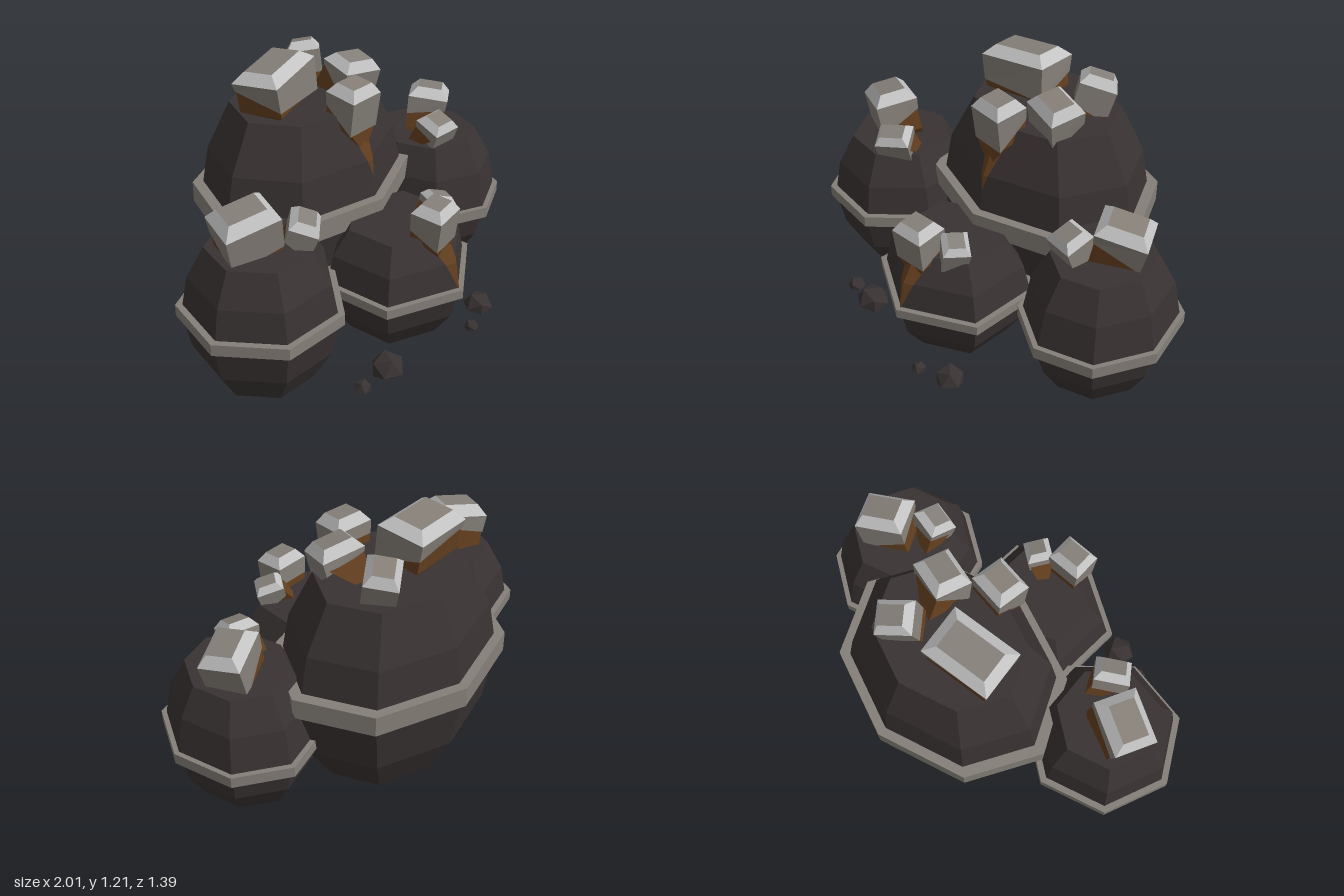
import * as THREE from 'three';

const paint = (name, color, side = THREE.FrontSide) => {
  const m = new THREE.MeshStandardMaterial({ color, side });
  m.name = name;
  return m;
};

// Faceted normals
function flat(geo) {
  const g = geo.index ? geo.toNonIndexed() : geo;
  g.computeVertexNormals();
  return g;
}

function addMesh(parent, name, geo, mat) {
  const mesh = new THREE.Mesh(flat(geo), mat);
  mesh.name = name;
  parent.add(mesh);
  return mesh;
}

// Rectangular ring of corners, counter-clockwise seen from above, optionally sloping along x and z
const ring = (w, d, y, slopeX = 0, slopeZ = 0) =>
  [[-1, 1], [1, 1], [1, -1], [-1, -1]].map(([sx, sz]) =>
    new THREE.Vector3(sx * w / 2, y + sx * slopeX + sz * slopeZ, sz * d / 2));

// Side walls through a stack of rings, with optional lids
function loft(rings, { top = false, bottom = false } = {}) {
  const pts = [];
  const quad = (a, b, c, d) => pts.push(a, b, c, a, c, d);
  for (let k = 0; k < rings.length - 1; k++) {
    for (let i = 0; i < 4; i++) {
      const j = (i + 1) % 4;
      quad(rings[k][i], rings[k][j], rings[k + 1][j], rings[k + 1][i]);
    }
  }
  if (top) quad(...rings[rings.length - 1]);
  if (bottom) quad(...[...rings[0]].reverse());
  return new THREE.BufferGeometry().setFromPoints(pts);
}

// Boulder: normalised [radius, height] profile
const PROFILE = [[0, 0], [0.65, 0], [0.9, 0.23], [1, 0.5], [0.9, 0.78], [0.68, 1], [0, 1]];

// name, x, z, radius x, radius z, height, sides, turn, band bottom, band top, tip height of the front crack
const BOULDERS = [
  ['backBoulder', 0.035, -0.235, 0.54, 0.43, 0.98, 8, 0, 0.49, 0.59, 0.69],
  ['frontBoulder', 0.02, 0.315, 0.357, 0.335, 0.53, 6, 0, 0.245, 0.29, 0.28],
  ['leftBoulder', 0.66, 0.05, 0.325, 0.36, 0.635, 8, -0.09, 0.27, 0.325],
  ['rightBoulder', -0.635, 0.075, 0.345, 0.345, 0.65, 7, 0.33, 0.315, 0.37],
];

// Wedge of earth lying on the two front facets, narrowing downwards to a tip
function crackGeometry(rx, rz, h, sides, tip) {
  const halfWidth = 0.075;
  const fall = Math.tan(Math.PI / sides) * rz / rx;
  const tipRadius = 1 - 0.1 * (tip / h - 0.5) / 0.28;
  const levels = [[tipRadius, tip], [0.9, 0.78 * h], [0.68, h]].map(([r, y]) => {
    const w = halfWidth * (y - tip) / (h - tip);
    const z = rz * r + 0.006;
    return [-1, 0, 1].map((s) => new THREE.Vector3(s * w, y, z - Math.abs(s) * w * fall));
  });
  const pts = [];
  for (let k = 0; k < 2; k++) {
    for (let i = 0; i < 2; i++) {
      const [a, b, c, d] = [levels[k][i], levels[k][i + 1], levels[k + 1][i + 1], levels[k + 1][i]];
      pts.push(a, c, d);
      if (k > 0) pts.push(a, b, c);
    }
  }
  return new THREE.BufferGeometry().setFromPoints(pts);
}

// base position, size, yaw, tilt x / z, slope of the underside along x / z, root tip x / z;
// a fin root spreads out beside its crystal
const CRYSTALS = [
  { name: 'largeCrystal', pos: [-0.11, 1.01, -0.25], size: [0.33, 0.18, 0.23], yaw: 0.15,
    tilt: [-0.08, 0.1], slope: [-0.02, -0.04], tip: [-0.16, -0.26] },
  { name: 'backCrystal', pos: [0.2, 0.97, -0.33], size: [0.17, 0.18, 0.15], yaw: 0.7,
    tilt: [-0.28, -0.12], slope: [-0.02, 0], tip: [0.16, -0.25] },
  { name: 'sideCrystal', pos: [0.21, 0.96, -0.115], size: [0.2, 0.18, 0.17], yaw: -0.25,
    tilt: [0.18, -0.1], slope: [-0.02, -0.05], tip: [0.14, -0.29], fin: true },
  { name: 'frontCrystal', pos: [0.03, 0.93, 0.045], size: [0.18, 0.19, 0.16], yaw: -0.08,
    tilt: [0.1, 0], slope: [0, -0.05], tip: [0.03, 0.12] },
  { name: 'lowFrontCrystal', pos: [0.01, 0.51, 0.505], size: [0.17, 0.18, 0.15], yaw: 0.06,
    tilt: [0.08, 0], slope: [0, -0.03], tip: [0.02, 0.55] },
  { name: 'lowSmallCrystal', pos: [0.13, 0.51, 0.43], size: [0.13, 0.13, 0.12], yaw: -0.6,
    tilt: [0.08, -0.3], slope: [-0.03, 0], tip: [0.01, 0.35], fin: true },
  { name: 'leftLargeCrystal', pos: [0.7, 0.64, 0.01], size: [0.23, 0.19, 0.19], yaw: 0.5,
    tilt: [0, -0.22], slope: [-0.04, 0.02], tip: [0.6, 0.08] },
  { name: 'leftSmallCrystal', pos: [0.575, 0.62, 0.13], size: [0.15, 0.15, 0.14], yaw: -0.15,
    tilt: [0.32, 0.08], slope: [-0.02, -0.03], tip: [0.5, 0.01], fin: true },
  { name: 'rightLargeCrystal', pos: [-0.69, 0.66, 0.06], size: [0.25, 0.2, 0.2], yaw: -0.4,
    tilt: [0.04, 0.2], slope: [0.015, -0.045], tip: [-0.62, -0.05] },
  { name: 'rightSmallCrystal', pos: [-0.53, 0.63, 0.18], size: [0.16, 0.15, 0.13], yaw: 0.6,
    tilt: [0.32, -0.14], slope: [0, -0.03], tip: [-0.48, 0.04], fin: true },
];

// x, z, radius, height
const PEBBLES = [
  [-0.505, 0.51, 0.042, 0.045], [-0.35, 0.53, 0.08, 0.095],
  [0.14, 0.66, 0.036, 0.04], [0.29, 0.605, 0.07, 0.08],
];

export function createModel() {
  const stone = paint('dark stone', 0x393232);
  const grey = paint('warm grey', 0x857f78);
  const edge = paint('pale grey', 0xc2c2c2);
  const brown = paint('earth brown', 0x643f1f, THREE.DoubleSide);
  const model = new THREE.Group();
  model.name = 'boulderCluster';

  // Boulders with a flat-sided band around the widest part
  for (const [name, x, z, rx, rz, h, sides, turn, b0, b1, crackTip] of BOULDERS) {
    const group = new THREE.Group();
    group.name = name;
    group.position.set(x, 0, z);
    model.add(group);
    const spin = (pts) => new THREE.LatheGeometry(pts.map((p) => new THREE.Vector2(...p)), sides)
      .rotateY(turn).scale(rx, 1, rz);
    addMesh(group, 'boulderBody', spin(PROFILE.map(([r, y]) => [r, y * h])), stone);
    addMesh(group, 'boulderBand', spin([[0.9, b0], [1.065, b0], [1.065, b1], [0.9, b1]]), grey);
    if (crackTip) addMesh(group, 'earthCrack', crackGeometry(rx, rz, h, sides, crackTip), brown);
  }

  // Crystals: body, pale bevel, top plate and tapering brown root
  for (const { name, pos, size: [w, h, d], yaw, tilt, slope, tip, fin } of CRYSTALS) {
    const group = new THREE.Group();
    group.name = name;
    group.position.set(...pos);
    group.rotation.set(tilt[0], yaw, tilt[1], 'XZY');
    group.updateMatrixWorld(true);
    model.add(group);
    const inset = Math.min(w, d) * 0.4;
    const lift = 0.6 * (Math.abs(slope[0]) + Math.abs(slope[1]));
    const base = ring(w * 0.95, d * 0.95, lift, ...slope);
    const rim = ring(w, d, h * 0.76);
    const crown = ring(w - inset, d - inset, h);
    addMesh(group, 'crystalBody', loft([base, rim], { bottom: true }), grey);
    addMesh(group, 'crystalBevel', loft([rim, crown]), edge);
    addMesh(group, 'crystalTop', loft([crown], { top: true }), grey);
    const apex = group.worldToLocal(new THREE.Vector3(tip[0], pos[1] - (fin ? 0.06 : 0.14), tip[1]));
    const core = (y) => ring(w * 0.92, d * 0.92, y);
    const root = [[apex, apex, apex, apex], core(fin ? h * 0.6 : -0.01), core(h * 0.7)];
    addMesh(group, 'crystalRoot', loft(root, { top: true }), brown);
  }

  // Pebbles, cut flat at the ground
  PEBBLES.forEach(([x, z, r, h], i) => {
    const geo = new THREE.IcosahedronGeometry(r, 0).rotateY(i * 0.7 + 0.3);
    const p = geo.attributes.position;
    for (let k = 0; k < p.count; k++) p.setY(k, Math.max(0, p.getY(k) + h - 0.85 * r));
    addMesh(model, 'pebble', geo, stone).position.set(x, 0, z);
  });

  return model;
}
